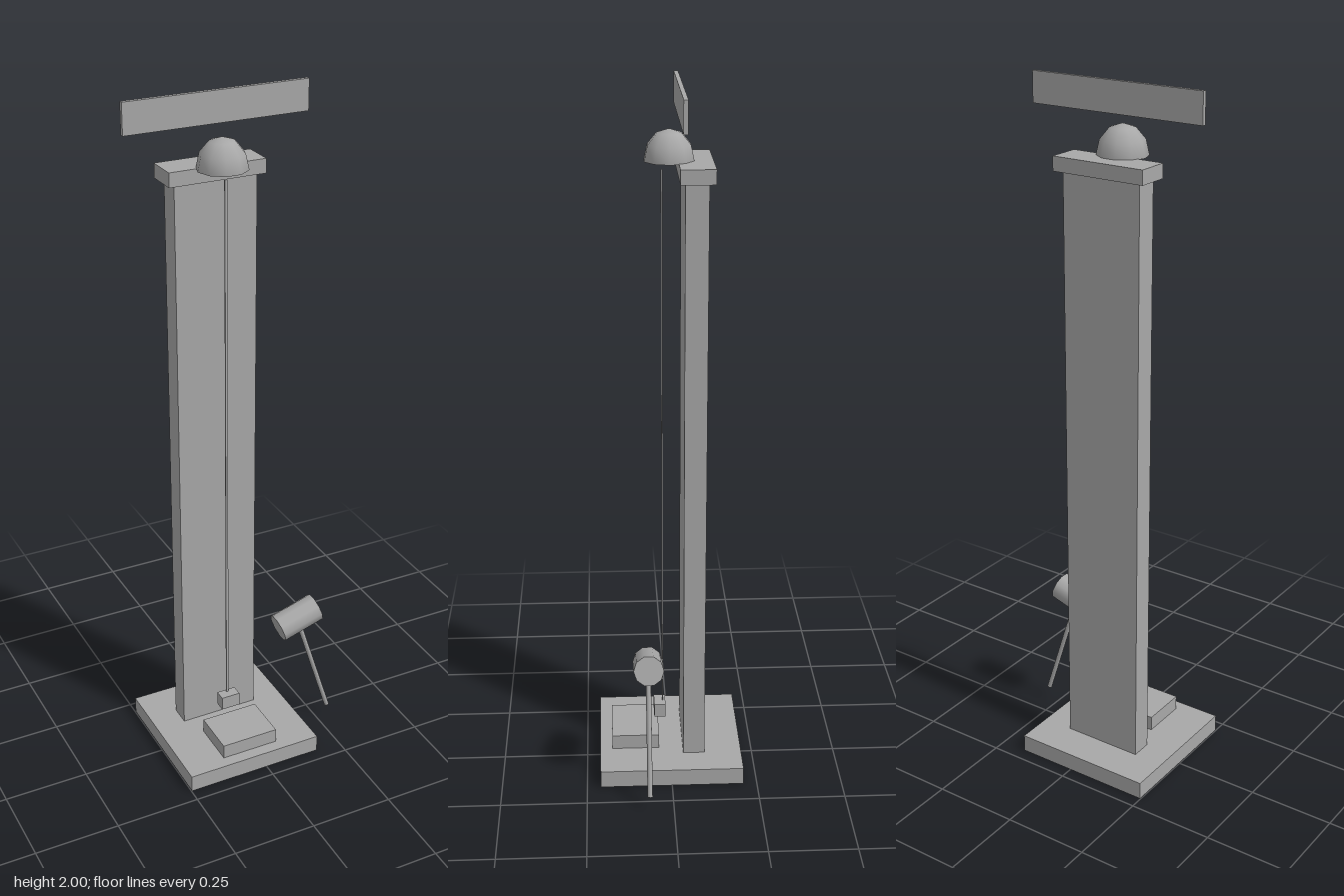
import * as THREE from 'three';

export function createModel() {
  const group = new THREE.Group();
  const grey = new THREE.MeshStandardMaterial({ color: 0xa8a8a8 });
  grey.name = 'plainGrey';

  const add = (name, geometry, parent = group) => {
    const mesh = new THREE.Mesh(geometry, grey);
    mesh.name = name;
    parent.add(mesh);
    return mesh;
  };

  // Box given by its limits on each axis
  const block = (name, [x0, x1], [y0, y1], [z0, z1]) =>
    add(name, new THREE.BoxGeometry(x1 - x0, y1 - y0, z1 - z0))
      .position.set((x0 + x1) / 2, (y0 + y1) / 2, (z0 + z1) / 2);

  // Tower
  block('base', [-0.248, 0.172], [0, 0.052], [-0.21, 0.21]);
  block('column', [-0.158, 0.081], [0.052, 1.765], [-0.1, -0.037]);
  block('columnCap', [-0.178, 0.101], [1.765, 1.805], [-0.117, -0.023]);
  block('strikePad', [-0.126, 0.049], [0.052, 0.096], [0.034, 0.174]);
  block('signBoard', [-0.3, 0.224], [1.915, 2], [-0.036, -0.024]);

  // Slider on its guide wire
  block('guideWire', [-0.042, -0.035], [0.11, 1.78], [0.018, 0.022]);
  block('slider', [-0.068, -0.01], [0.123, 0.165], [0.012, 0.046]);

  // Bell: ten-sided smooth dome, closed below by a flat disc
  const bell = new THREE.Group();
  bell.name = 'bell';
  bell.position.set(-0.038, 1.803, 0);
  group.add(bell);
  const dome = new THREE.SphereGeometry(0.07, 10, 3, 0, Math.PI * 2, 0, Math.PI / 2);
  dome.scale(1, 0.084 / 0.07, 1);
  add('bellDome', dome, bell);
  add('bellUnderside', new THREE.CircleGeometry(0.07, 10).rotateX(Math.PI / 2), bell);

  // Mallet leaning beside the base
  const mallet = new THREE.Group();
  mallet.name = 'mallet';
  mallet.position.set(0.171, 0.402, 0.069);
  mallet.rotation.z = 0.305;
  group.add(mallet);
  const head = new THREE.CylinderGeometry(0.0432, 0.0432, 0.132, 10);
  add('malletHead', head.rotateZ(Math.PI / 2), mallet);
  add('malletHandle', new THREE.CylinderGeometry(0.0075, 0.0075, 0.38, 8), mallet)
    .position.y = -0.19;

  return group;
}
